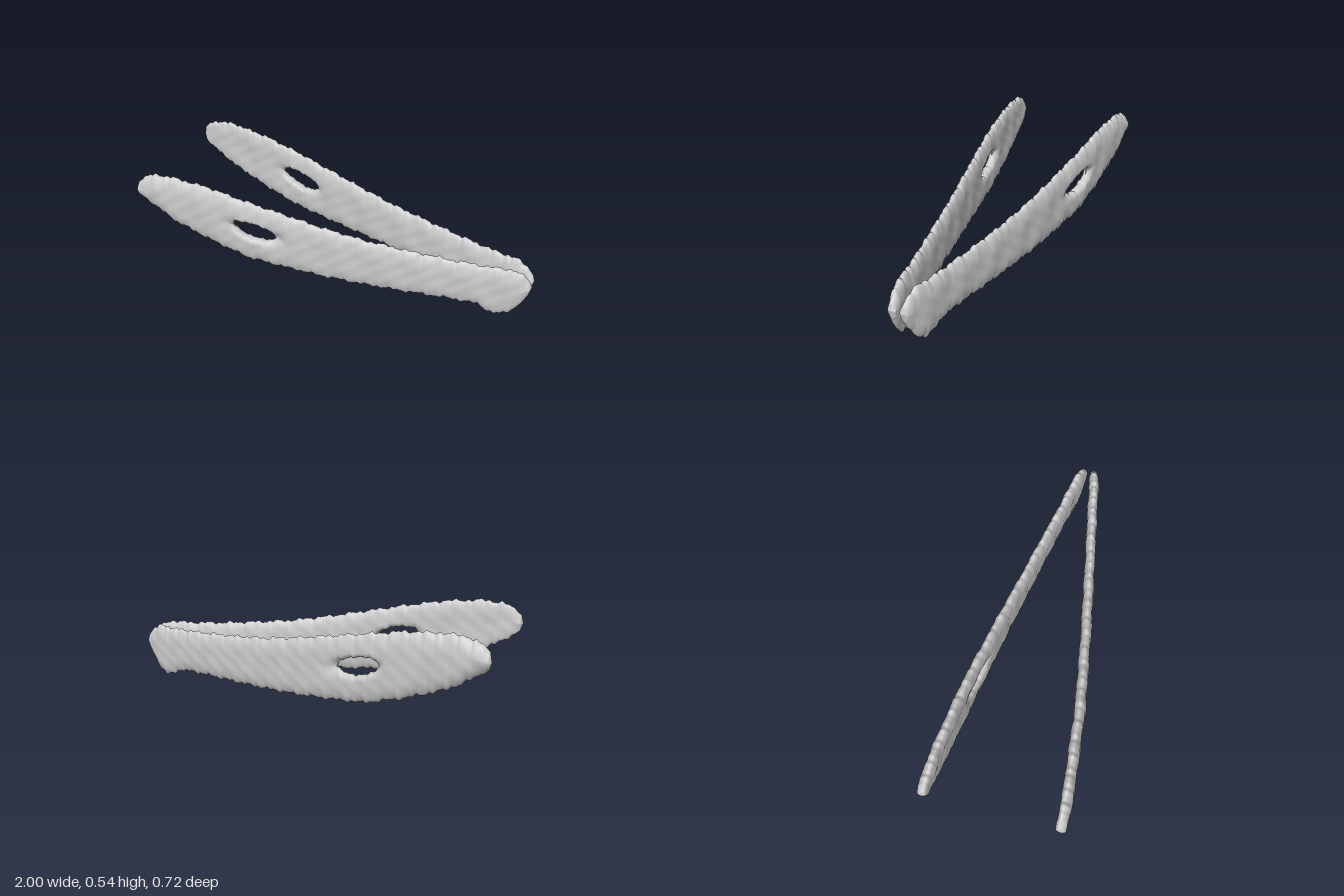
import * as THREE from 'three';
import { mergeVertices } from 'three/addons/utils/BufferGeometryUtils.js';

// Blade outline and centre line as [x, value] pairs
const TOP = [[-1, 0.425], [-0.99, 0.47], [-0.96, 0.5], [-0.9, 0.525], [-0.8, 0.53], [-0.6, 0.508], [-0.4, 0.465],
  [-0.2, 0.42], [0, 0.375], [0.2, 0.337], [0.4, 0.313], [0.6, 0.293], [0.8, 0.28], [0.9, 0.283], [0.96, 0.255],
  [0.99, 0.22], [1, 0.19]];
const BOTTOM = [[-1, 0.425], [-0.99, 0.39], [-0.96, 0.365], [-0.9, 0.325], [-0.8, 0.265], [-0.6, 0.185], [-0.4, 0.123],
  [-0.2, 0.1], [0, 0.082], [0.2, 0.07], [0.4, 0.064], [0.6, 0.06], [0.76, 0.05], [0.82, 0.012], [0.87, 0.007],
  [0.92, 0.035], [0.96, 0.09], [0.99, 0.145], [1, 0.19]];
const CENTRE = [[-1, 0.332], [-0.8, 0.322], [-0.4, 0.28], [0, 0.215], [0.4, 0.143], [0.7, 0.085], [0.85, 0.058], [1, 0.028]];
const HOLE = { x: -0.365, rx: 0.11, ry: 0.045 };

function sample(table, x) {
  let i = 0;
  while (i < table.length - 2 && x > table[i + 1][0]) i++;
  const [x0, a] = table[i], [x1, b] = table[i + 1];
  return a + (b - a) * THREE.MathUtils.clamp((x - x0) / (x1 - x0), 0, 1);
}

// Ragged rim and lumpy skin
const ragged = (x, p) => 0.004 * Math.sin(47 * x + p) + 0.004 * Math.sin(113 * x + 2 * p) + 0.003 * Math.sin(191 * x + 3 * p);
const lumps = (x, y, p) => 0.0018 * (Math.sin(31 * x + 17 * y + p) + Math.sin(53 * x - 41 * y + 2 * p) * Math.cos(37 * y + p));
const roundOff = (d, w) => {
  const t = 1 - THREE.MathUtils.clamp(d / w, 0, 1);
  return Math.sqrt(Math.max(0, 1 - t * t));
};

// One curved blade: outer and inner sheets, each split in two strips that part around the hole
function bladeGeometry(sign) {
  const COLS = 260, ROWS = 14, pos = [], index = [];
  const phase = sign > 0 ? 0.7 : 2.9;
  for (const face of [1, -1]) {
    for (const strip of [1, -1]) {
      const base = pos.length / 3;
      for (let i = 0; i <= COLS; i++) {
        const x = Math.sin(Math.PI * (i / COLS - 0.5));
        const fade = Math.min(1, (1 - Math.abs(x)) * 12);
        const top = sample(TOP, x) + ragged(x, phase) * fade;
        const bottom = Math.max(0, sample(BOTTOM, x) + ragged(x, phase + 4) * fade);
        const mid = bottom + 0.54 * (top - bottom);
        const dx = (x - HOLE.x) / HOLE.rx;
        const gap = HOLE.ry * Math.sqrt(Math.max(0, 1 - dx * dx));
        const from = strip > 0 ? mid + gap : bottom;
        const to = strip > 0 ? top : mid - gap;
        for (let j = 0; j <= ROWS; j++) {
          const y = from + (to - from) * (1 - Math.cos(Math.PI * j / ROWS)) / 2;
          const rim = Math.min(top - y, y - bottom);
          const holeEdge = (Math.hypot(dx, (y - mid) / HOLE.ry) - 1) * HOLE.ry;
          const shape = roundOff(rim, 0.085) * roundOff(holeEdge, 0.022);
          // Shallow hollow running forward out of the hole on the outer face
          const hollow = face > 0 ? 0.018 * Math.exp(-(((x + 0.26) / 0.06) ** 2) - ((y - mid) / 0.035) ** 2) : 0;
          const half = shape * Math.max(0.004, 0.028 + lumps(x, y, phase + face) - hollow);
          const v = (y - mid) / Math.max(0.05, (top - bottom) / 2);
          const z = sample(CENTRE, x) - (x < 0 ? -0.012 * x * v * v : 0);
          pos.push(x, y, sign * Math.max(0.008, z + face * half));
        }
      }
      for (let i = 0; i < COLS; i++) {
        for (let j = 0; j < ROWS; j++) {
          const a = base + i * (ROWS + 1) + j, b = a + ROWS + 1;
          if (face * sign > 0) index.push(a, b, b + 1, a, b + 1, a + 1);
          else index.push(a, b + 1, b, a, a + 1, b + 1);
        }
      }
    }
  }
  const geo = new THREE.BufferGeometry();
  geo.setAttribute('position', new THREE.Float32BufferAttribute(pos, 3));
  geo.setIndex(index);
  const welded = mergeVertices(geo, 1e-5);
  welded.computeVertexNormals();
  return welded;
}

export function createModel() {
  const group = new THREE.Group();
  group.name = 'jawBones';
  const material = new THREE.MeshStandardMaterial({ color: 0xcccccc, side: THREE.DoubleSide });
  for (const [name, sign] of [['rightBlade', 1], ['leftBlade', -1]]) {
    const blade = new THREE.Mesh(bladeGeometry(sign), material);
    blade.name = name;
    group.add(blade);
  }
  return group;
}
